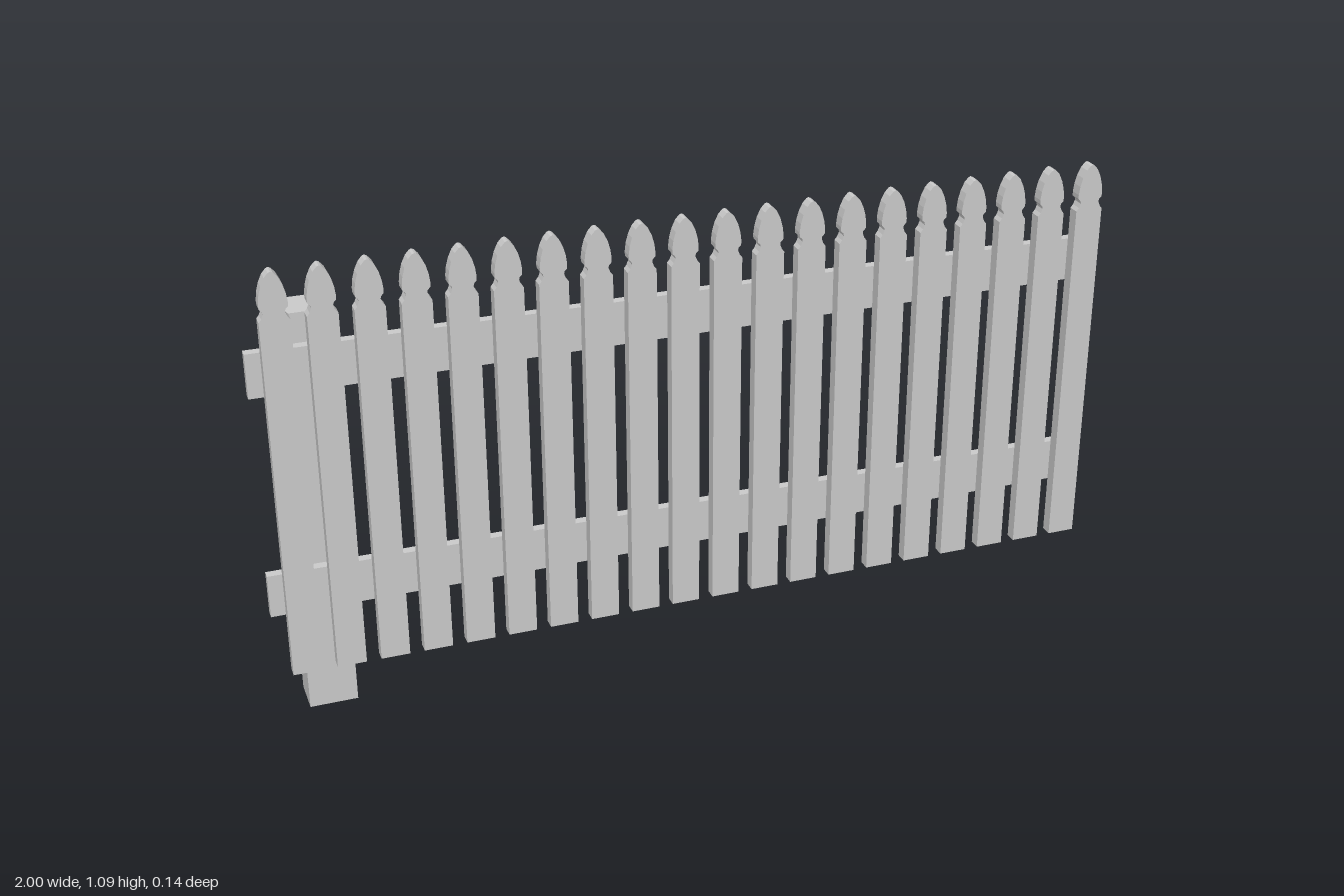
import * as THREE from 'three';

const material = new THREE.MeshStandardMaterial({ color: 0xcccccc, flatShading: true });

// Box given by its min and max corners
function board(name, [x0, y0, z0], [x1, y1, z1]) {
  const mesh = new THREE.Mesh(new THREE.BoxGeometry(x1 - x0, y1 - y0, z1 - z0), material);
  mesh.position.set((x0 + x1) / 2, (y0 + y1) / 2, (z0 + z1) / 2);
  mesh.name = name;
  return mesh;
}

// Flat picket with a notched neck and a pointed-arch head
function picketGeometry() {
  const half = [
    [0.033, 0.125], [0.033, 0.98], [0.027, 0.988], [0.023, 0.998], [0.024, 1.004],
    [0.03, 1.01], [0.0305, 1.02], [0.028, 1.04], [0.0225, 1.06], [0.014, 1.078], [0.005, 1.088],
  ];
  const outline = [...half, [0, 1.09], ...half.map(([x, y]) => [-x, y]).reverse()];
  const shape = new THREE.Shape(outline.map(([x, y]) => new THREE.Vector2(x, y)));
  return new THREE.ExtrudeGeometry(shape, { depth: 0.028, bevelEnabled: false });
}

export function createModel() {
  const fence = new THREE.Group();
  fence.name = 'picketFence';

  // Single post behind the rails
  fence.add(board('post', [-0.93, 0, -0.068], [-0.82, 0.972, 0.02]));

  // Two horizontal rails
  fence.add(board('lowerRail', [-1, 0.267, 0.02], [1, 0.37, 0.042]));
  fence.add(board('upperRail', [-1, 0.8, 0.02], [1, 0.903, 0.042]));

  // Evenly spaced pickets on the front of the rails
  const geometry = picketGeometry();
  const count = 20;
  for (let i = 0; i < count; i++) {
    const picket = new THREE.Mesh(geometry, material);
    picket.name = `picket${i + 1}`;
    picket.position.set(THREE.MathUtils.lerp(-0.934, 0.955, i / (count - 1)), 0, 0.042);
    fence.add(picket);
  }
  return fence;
}
